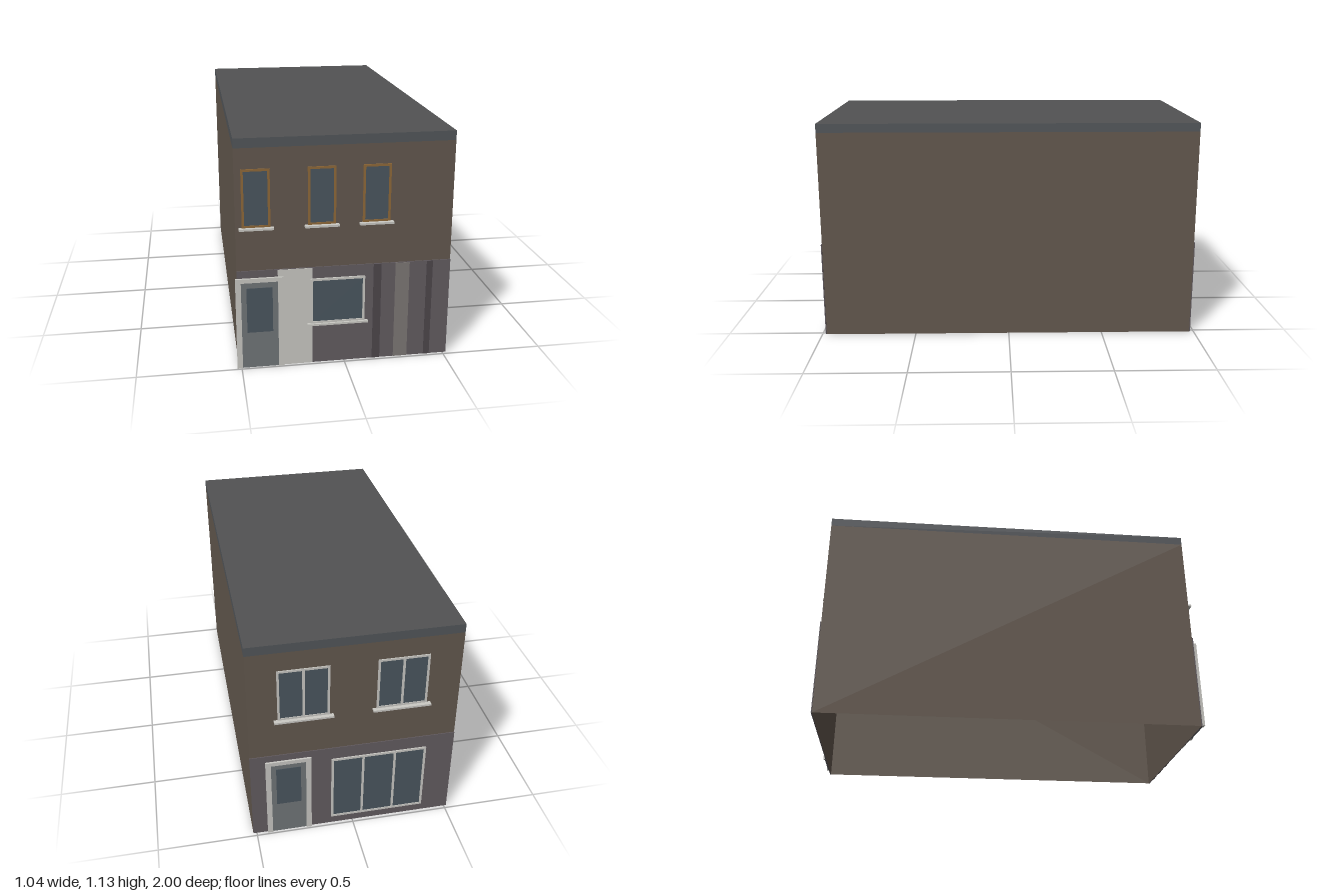
import * as THREE from 'three';

const mat = (color) => new THREE.MeshStandardMaterial({ color, side: THREE.DoubleSide });
const BRICK = mat(0x64594f), SLATE = mat(0x53575b), ROOF = mat(0x525354), PLINTH = mat(0x645d62);
const WHITE = mat(0xcccbc6), WOOD = mat(0x916a3a), GLASS = mat(0x4b5760), DOOR = mat(0x72777a);
const DARK = mat(0x4e484c), LIGHT = mat(0x7e7876);

const X0 = -0.513, X1 = 0.518, Z = 0.977, EAVES = 1.09, TOP = 1.135;

// Thin slab spanning x0..x1, y0..y1, z0..z1
function slab(parent, name, material, x0, x1, y0, y1, z0, z1) {
  const m = new THREE.Mesh(new THREE.BoxGeometry(x1 - x0, y1 - y0, z1 - z0), material);
  m.position.set((x0 + x1) / 2, (y0 + y1) / 2, (z0 + z1) / 2);
  m.name = name;
  parent.add(m);
}

// Rectangular frame with an opening inset by the border widths
function frame(parent, name, material, x0, x1, y0, y1, z0, z1, side, top = side, bottom = side) {
  const rect = (P, a, b, c, d) => new P([
    new THREE.Vector2(a, c), new THREE.Vector2(b, c), new THREE.Vector2(b, d), new THREE.Vector2(a, d)]);
  let shape;
  if (bottom > 0) {
    shape = rect(THREE.Shape, x0, x1, y0, y1);
    shape.holes.push(rect(THREE.Path, x0 + side, x1 - side, y0 + bottom, y1 - top));
  } else {
    shape = new THREE.Shape([[x0, y0], [x0 + side, y0], [x0 + side, y1 - top], [x1 - side, y1 - top],
      [x1 - side, y0], [x1, y0], [x1, y1], [x0, y1]].map(p => new THREE.Vector2(...p)));
  }
  const m = new THREE.Mesh(
    new THREE.ExtrudeGeometry(shape, { depth: z1 - z0, bevelEnabled: false }), material);
  m.position.z = z0;
  m.name = name;
  parent.add(m);
}

// Framed window with evenly spaced mullions, and a sill if its overhang is given
function window_(parent, name, material, x0, x1, y0, y1, z, border, panes, overhang) {
  const g = new THREE.Group();
  g.name = name;
  slab(g, 'glass', GLASS, x0 + border / 2, x1 - border / 2, y0 + border / 2, y1 - border / 2, z - 0.003, z + 0.002);
  frame(g, 'windowFrame', material, x0, x1, y0, y1, z - 0.003, z + 0.005, border);
  for (let i = 1; i < panes; i++) {
    const x = x0 + (x1 - x0) * i / panes;
    slab(g, 'mullion', material, x - 0.006, x + 0.006, y0 + border, y1 - border, z, z + 0.005);
  }
  if (overhang) slab(g, 'sill', WHITE, x0 - overhang, x1 + overhang, y0 - 0.009, y0 + 0.001, z - 0.003, 1);
  parent.add(g);
}

// Glazed door with its surround
function door(parent, x0, x1, z, right) {
  const g = new THREE.Group();
  g.name = 'door';
  slab(g, 'doorLeaf', DOOR, x0 + 0.02, x1 - 0.02, 0, 0.45, z - 0.003, z + 0.003);
  slab(g, 'doorGlass', GLASS, x0 + 0.052, x1 - 0.052, 0.186, 0.414, z, z + 0.005);
  frame(g, 'doorFrame', WHITE, x0, x1, 0, 0.464, z - 0.003, z + 0.009, right, 0.021, 0);
  parent.add(g);
}

export function createModel() {
  const model = new THREE.Group();
  model.name = 'shopBuilding';

  // Open-bottomed shell: four walls with a fascia strip above each
  const W = X1 - X0, cx = (X0 + X1) / 2;
  for (let i = 0; i < 4; i++) {
    const width = i % 2 ? 2 * Z : W, out = i % 2 ? W / 2 : Z;
    for (const [name, m, y0, y1] of [['wall', BRICK, 0, EAVES], ['fascia', SLATE, EAVES, TOP]]) {
      const geo = new THREE.PlaneGeometry(width, y1 - y0);
      geo.translate(0, (y0 + y1) / 2, out).rotateY(i * Math.PI / 2).translate(cx, 0, 0);
      const mesh = new THREE.Mesh(geo, m);
      mesh.name = name;
      model.add(mesh);
    }
  }
  const roof = new THREE.Mesh(new THREE.PlaneGeometry(W, 2 * Z).rotateX(-Math.PI / 2), ROOF);
  roof.position.set(cx, TOP, 0);
  roof.name = 'roof';
  model.add(roof);

  // Street front
  const front = new THREE.Group();
  front.name = 'front';
  slab(front, 'groundFloorCladding', PLINTH, X0, X1, 0, 0.5, Z + 0.001, 0.983);
  slab(front, 'palePanel', WHITE, -0.32, -0.156, 0, 0.498, 0.98, 0.985);
  slab(front, 'darkStripe', DARK, 0.14, 0.178, 0, 0.498, 0.98, 0.985);
  slab(front, 'lightStripe', LIGHT, 0.247, 0.316, 0, 0.498, 0.98, 0.985);
  slab(front, 'darkStripe', DARK, 0.401, 0.431, 0, 0.498, 0.98, 0.985);
  door(front, -0.521, -0.294, 0.985, 0.026);
  window_(front, 'shopWindow', WHITE, -0.165, 0.098, 0.211, 0.443, 0.986, 0.011, 1, 0.016);
  for (const x of [-0.416, -0.11, 0.149])
    window_(front, 'upperWindow', WOOD, x - 0.066, x + 0.066, 0.712, 0.992, Z, 0.011, 1, 0.015);
  model.add(front);

  // Rear, laid out facing forward and then turned round
  const rear = new THREE.Group();
  rear.name = 'rear';
  slab(rear, 'groundFloorCladding', PLINTH, -X1, -X0, 0, 0.5, Z + 0.001, 0.982);
  door(rear, -0.443, -0.216, 0.983, 0.026);
  window_(rear, 'shopWindow', WHITE, -0.114, 0.37, 0.044, 0.432, 0.983, 0.012, 3, 0);
  for (const x of [-0.25, 0.228])
    window_(rear, 'upperWindow', WHITE, x - 0.125, x + 0.125, 0.712, 0.992, Z, 0.011, 2, 0.018);
  rear.rotation.y = Math.PI;
  model.add(rear);

  return model;
}
